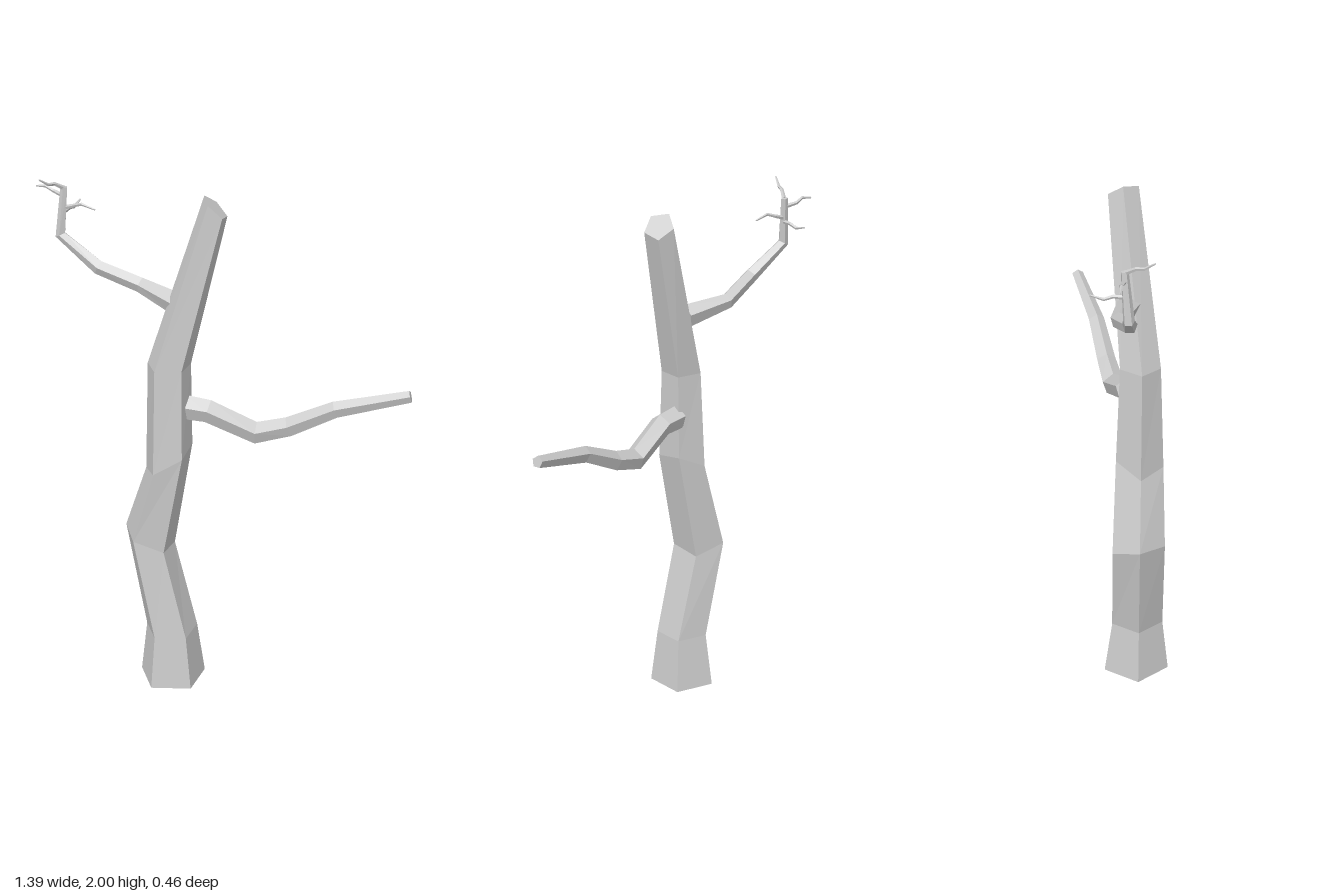
import * as THREE from 'three';

const bark = new THREE.MeshStandardMaterial({ color: 0xcccccc, flatShading: true });

// Skins a list of rings (counter-clockwise about the growth direction) and caps both ends.
function loft(name, rings) {
  const n = rings[0].length;
  const pos = [];
  const tri = (...pts) => pts.forEach((p) => pos.push(p.x, p.y, p.z));
  for (let i = 0; i < rings.length - 1; i++) {
    const a = rings[i], b = rings[i + 1];
    for (let j = 0; j < n; j++) {
      const k = (j + 1) % n;
      tri(a[j], a[k], b[k]);
      tri(a[j], b[k], b[j]);
    }
  }
  const first = rings[0], last = rings[rings.length - 1];
  for (let j = 1; j < n - 1; j++) {
    tri(first[0], first[j + 1], first[j]);
    tri(last[0], last[j], last[j + 1]);
  }
  const geo = new THREE.BufferGeometry();
  geo.setAttribute('position', new THREE.Float32BufferAttribute(pos, 3));
  geo.computeVertexNormals();
  const mesh = new THREE.Mesh(geo, bark);
  mesh.name = name;
  return mesh;
}

// Tapered limb along points [x, y, z, radius]; the first corner of each ring points up.
function limb(name, path, sides) {
  const pts = path.map(([x, y, z]) => new THREE.Vector3(x, y, z));
  const normal = new THREE.Vector3(0, 1, 0);
  const rings = pts.map((p, i) => {
    const t = new THREE.Vector3();
    if (i > 0) t.add(p.clone().sub(pts[i - 1]).normalize());
    if (i < pts.length - 1) t.add(pts[i + 1].clone().sub(p).normalize());
    t.normalize();
    normal.addScaledVector(t, -normal.dot(t)).normalize();
    const side = t.clone().cross(normal);
    return Array.from({ length: sides }, (_, j) => {
      const a = (j / sides) * Math.PI * 2;
      return p.clone()
        .addScaledVector(normal, path[i][3] * Math.cos(a))
        .addScaledVector(side, path[i][3] * Math.sin(a));
    });
  });
  return loft(name, rings);
}

export function createModel() {
  const tree = new THREE.Group();
  tree.name = 'deadTree';

  // Trunk: five-sided rings [centre x, y, z, radius x, radius z, tilt]
  const trunkRings = [
    [-0.195, 0, 0.1, 0.131, 0.131, 0],
    [-0.197, 0.215, 0.102, 0.103, 0.103, 0],
    [-0.278, 0.6, 0.07, 0.098, 0.105, -0.4],
    [-0.2, 0.955, 0.103, 0.092, 0.094, 0.6],
    [-0.195, 1.34, 0.103, 0.084, 0.078, 0],
    [-0.022, 1.96, 0.106, 0.043, 0.06, -0.95],
  ].map(([cx, cy, cz, rx, rz, tilt]) =>
    Array.from({ length: 5 }, (_, j) => {
      const a = (j / 5) * Math.PI * 2;
      const dx = -rx * Math.sin(a);
      return new THREE.Vector3(cx + dx, cy + tilt * dx, cz - rz * Math.cos(a));
    }));
  tree.add(loft('trunk', trunkRings));

  // Long low branch on the left
  tree.add(limb('lowerBranch', [
    [-0.135, 1.17, 0.095, 0.048],
    [-0.05, 1.165, 0.115, 0.045],
    [0.128, 1.088, 0.132, 0.043],
    [0.25, 1.125, 0.152, 0.038],
    [0.42, 1.212, 0.18, 0.032],
    [0.69, 1.283, 0.208, 0.023],
  ], 5));

  // Crooked upper branch on the right
  tree.add(limb('upperBranch', [
    [-0.165, 1.575, 0.07, 0.045],
    [-0.305, 1.605, -0.028, 0.03],
    [-0.46, 1.662, -0.05, 0.028],
    [-0.604, 1.762, -0.115, 0.021],
    [-0.587, 1.945, -0.125, 0.014],
  ], 5));

  // Four fine twigs near the tip
  const twigs = [
    [[-0.588, 1.94, -0.123], [-0.62, 1.965, -0.098], [-0.64, 1.97, -0.075], [-0.668, 1.997, -0.048]],
    [[-0.59, 1.91, -0.125], [-0.63, 1.918, -0.155], [-0.66, 1.932, -0.165], [-0.697, 1.925, -0.185]],
    [[-0.59, 1.865, -0.122], [-0.55, 1.88, -0.105], [-0.52, 1.893, -0.085], [-0.47, 1.88, -0.065]],
    [[-0.592, 1.85, -0.12], [-0.572, 1.852, -0.16], [-0.562, 1.842, -0.19], [-0.542, 1.857, -0.234]],
  ];
  const radii = [0.009, 0.007, 0.006, 0.003];
  twigs.forEach((path, i) => {
    tree.add(limb(`twig${i + 1}`, path.map((p, k) => [...p, radii[k]]), 5));
  });

  return tree;
}
